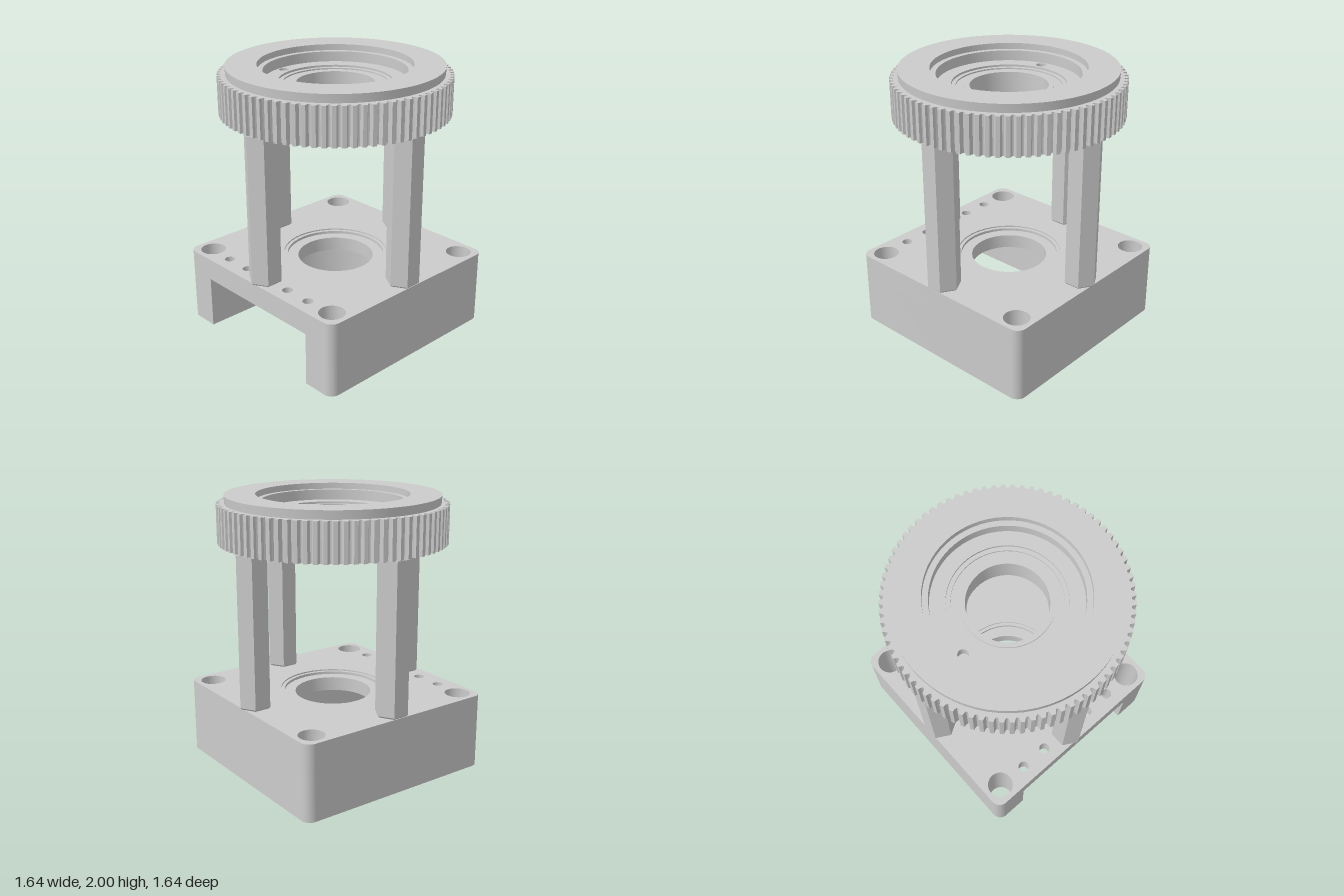
import * as THREE from 'three';
import { toCreasedNormals } from 'three/addons/utils/BufferGeometryUtils.js';

const grey = new THREE.MeshStandardMaterial({ color: 0xcccccc });
const flat = new THREE.MeshStandardMaterial({ color: 0xcccccc, flatShading: true });
const thin = new THREE.MeshStandardMaterial({ color: 0xcccccc, side: THREE.DoubleSide });

// Lay a shape flat: shape (x, y) becomes (x, -z), extruded upwards from y0 to y1
function plate(shape, y0, y1) {
  const g = new THREE.ExtrudeGeometry(shape, { depth: y1 - y0, bevelEnabled: false, curveSegments: 20 });
  return g.rotateX(-Math.PI / 2).translate(0, y0, 0);
}

function addHole(shape, x, z, r) {
  shape.holes.push(new THREE.Path().absarc(x, -z, r, 0, Math.PI * 2, true));
}

function add(group, name, geometry, material = grey) {
  const mesh = new THREE.Mesh(geometry, material);
  mesh.name = name;
  group.add(mesh);
  return mesh;
}

const H = 0.78, R = 0.07;            // base half width and corner radius
const corners = [[1, 1], [1, -1], [-1, 1], [-1, -1]];
const posts = [[0.68, 0], [-0.68, 0], [0, 0.68], [0, -0.68]];

// Base outline, either a full square or a U open towards -x
function baseShape(slotHalf) {
  const s = new THREE.Shape();
  s.moveTo(-H + R, -H);
  s.absarc(H - R, -H + R, R, -Math.PI / 2, 0);
  s.absarc(H - R, H - R, R, 0, Math.PI / 2);
  s.absarc(-H + R, H - R, R, Math.PI / 2, Math.PI);
  if (slotHalf) {
    s.lineTo(-H, slotHalf);
    s.absarc(0, 0, slotHalf, Math.PI / 2, -Math.PI / 2, true);
    s.lineTo(-H, -slotHalf);
  }
  s.absarc(-H + R, -H + R, R, Math.PI, Math.PI * 1.5);
  for (const [i, j] of corners) addHole(s, i * 0.652, j * 0.652, 0.092);
  return s;
}

function makeBase() {
  const base = new THREE.Group();
  base.name = 'base';
  // U-shaped lower body with screw pockets under three posts
  const lower = baseShape(0.53);
  for (const [x, z] of posts) if (x >= 0) addHole(lower, x, z, 0.085);
  add(base, 'slottedBody', toCreasedNormals(plate(lower, 0, 0.39), 0.5));
  // Top slab in layers: recess below, bore, two shallow steps above
  const layers = [[0.39, 0.42, 0.37], [0.42, 0.525, 0.28], [0.525, 0.545, 0.36], [0.545, 0.555, 0.385]];
  for (const [y0, y1, bore] of layers) {
    const s = baseShape(0);
    addHole(s, 0, 0, bore);
    for (const z of [-0.43, -0.22, 0.22, 0.43]) addHole(s, -0.665, z, 0.038);
    add(base, 'topSlab', toCreasedNormals(plate(s, y0, y1), 0.5));
  }
  return base;
}

function makePulley() {
  const pulley = new THREE.Group();
  pulley.name = 'pulley';
  // Toothed rim with rounded grooves
  const teeth = 80, pts = [];
  const tooth = [[0, 0.82], [0.42, 0.82], [0.5, 0.802], [0.62, 0.79], [0.8, 0.79], [0.92, 0.802]];
  for (let i = 0; i < teeth; i++) {
    for (const [f, r] of tooth) {
      const a = ((i + f) / teeth) * Math.PI * 2;
      pts.push(new THREE.Vector2(r * Math.cos(a), r * Math.sin(a)));
    }
  }
  const rim = new THREE.Shape(pts);
  addHole(rim, 0, 0, 0.62);
  add(pulley, 'toothedRim', plate(rim, 1.665, 1.94), flat);

  // Turned surfaces
  const turn = (name, profile) => add(pulley, name, toCreasedNormals(
    new THREE.LatheGeometry(profile.map(p => new THREE.Vector2(...p)), 64), 0.5));
  turn('topFlange', [[0.76, 1.93], [0.765, 2], [0.545, 2], [0.545, 1.955], [0.505, 1.955], [0.505, 1.88]]);
  turn('bearingAndBore', [[0.4, 1.88], [0.4, 1.865], [0.37, 1.865], [0.37, 1.855], [0.31, 1.855],
    [0.31, 1.865], [0.275, 1.865], [0.272, 1.73], [0.285, 1.73], [0.285, 1.665], [0.625, 1.665]]);

  // Recess floor with a small blind hole
  const floor = new THREE.Shape().absarc(0, 0, 0.505, 0, Math.PI * 2);
  addHole(floor, 0, 0, 0.4);
  addHole(floor, -0.085, -0.45, 0.037);
  add(pulley, 'recessFloor', new THREE.ShapeGeometry(floor, 32).rotateX(-Math.PI / 2).translate(0, 1.88, 0));
  const pocket = new THREE.LatheGeometry(
    [[0.037, 1.88], [0.037, 1.8], [0, 1.8]].map(p => new THREE.Vector2(...p)), 20);
  add(pulley, 'pinHole', toCreasedNormals(pocket, 0.5).translate(-0.085, 0, -0.45), thin);
  return pulley;
}

export function createModel() {
  const model = new THREE.Group();
  model.name = 'pulleyStand';
  model.add(makeBase());

  // Hexagonal standoffs with chamfered ends
  const hex = new THREE.LatheGeometry(
    [[0, 0.555], [0.108, 0.555], [0.12, 0.567], [0.12, 1.653], [0.108, 1.665], [0, 1.665]]
      .map(p => new THREE.Vector2(...p)), 6, Math.PI / 6);
  for (const [x, z] of posts) add(model, 'standoff', hex, flat).position.set(x, 0, z);

  model.add(makePulley());
  return model;
}
